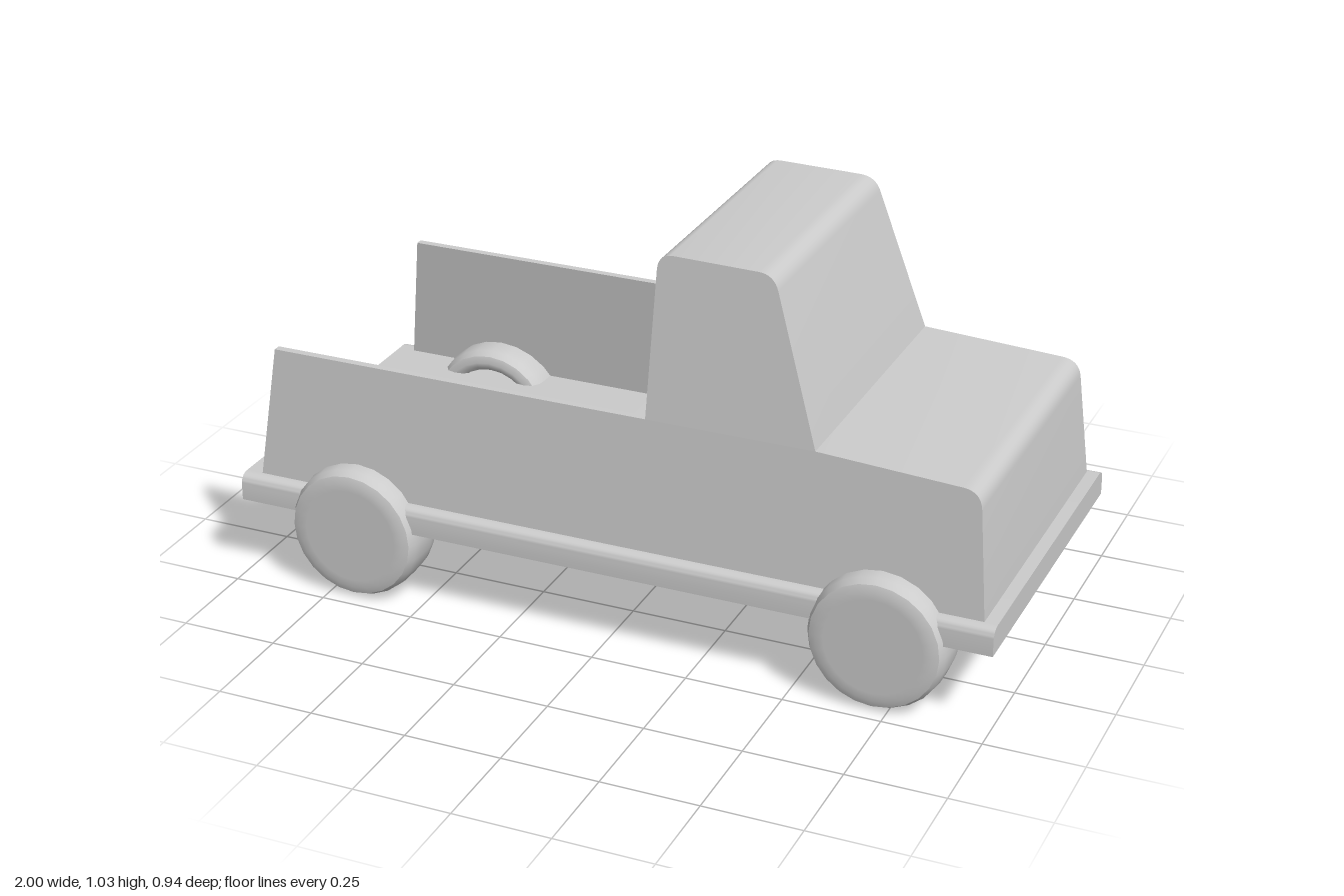
import * as THREE from 'three';
import { toCreasedNormals } from 'three/addons/utils/BufferGeometryUtils.js';

const material = new THREE.MeshStandardMaterial({ color: 0xcccccc });
const lerp = THREE.MathUtils.lerp;
const BELT = 0.62, FLOOR = 0.28, ROOF = 1.03;

// Half width of the bodywork: it narrows towards the roof, and the bed flares slightly to the rear
function halfWidth(x, y) {
  if (y > BELT) return lerp(0.39, 0.34, (y - BELT) / (ROOF - BELT));
  const belt = lerp(0.41, 0.39, THREE.MathUtils.clamp((x + 0.92) / 0.98, 0, 1));
  return lerp(0.42, belt, (y - FLOOR) / (BELT - FLOOR));
}

// Side profile from points [x, y]; a third value rounds that corner by that distance
function profile(points) {
  const shape = new THREE.Shape();
  const n = points.length;
  const v = points.map(([x, y]) => new THREE.Vector2(x, y));
  points.forEach(([x, y, r = 0], i) => {
    const toward = (q) => q.clone().sub(v[i]).setLength(r).add(v[i]);
    const a = r ? toward(v[(i + n - 1) % n]) : v[i];
    if (i === 0) shape.moveTo(a.x, a.y);
    else shape.lineTo(a.x, a.y);
    if (r) {
      const b = toward(v[(i + 1) % n]);
      shape.quadraticCurveTo(x, y, b.x, b.y);
    }
  });
  shape.closePath();
  return shape;
}

// Extrudes a profile, then places each vertex in z by a rule
function extruded(name, shape, depth, placeZ) {
  const geometry = new THREE.ExtrudeGeometry(shape, { depth, bevelEnabled: false, curveSegments: 8 });
  const p = geometry.attributes.position;
  for (let i = 0; i < p.count; i++) p.setZ(i, placeZ(p.getX(i), p.getY(i), p.getZ(i)));
  const mesh = new THREE.Mesh(toCreasedNormals(geometry, 0.6), material);
  mesh.name = name;
  return mesh;
}

export function createModel() {
  const truck = new THREE.Group();
  truck.name = 'pickupTruck';
  const fullWidth = (x, y, z) => (z * 2 - 1) * halfWidth(x, y);

  // Chassis plate with rounded upper long edges
  const section = profile([[-0.45, 0.21], [0.45, 0.21], [0.45, FLOOR, 0.03], [-0.45, FLOOR, 0.03]]);
  const chassis = extruded('chassis', section, 2, (x, y, z) => z - 1);
  chassis.rotation.y = Math.PI / 2;
  truck.add(chassis);

  // Hood and lower cab, including the bulkhead at the front of the bed
  truck.add(extruded('lowerBody', profile([
    [0.06, FLOOR], [0.967, FLOOR], [0.937, 0.598, 0.045], [0.53, BELT], [0.06, BELT],
  ]), 1, fullWidth));

  // Upper cab with sloping windshield
  truck.add(extruded('cab', profile([
    [0.097, BELT], [0.53, BELT], [0.402, 1.025, 0.04], [0.11, ROOF, 0.04],
  ]), 1, fullWidth));

  // Bed side walls, open at the rear
  const thickness = 0.02;
  for (const side of [1, -1]) {
    truck.add(extruded(side > 0 ? 'leftBedWall' : 'rightBedWall',
      profile([[-0.955, FLOOR], [0.06, FLOOR], [0.06, BELT], [-0.915, BELT]]), thickness,
      (x, y, z) => side * halfWidth(x, y) + z - (side > 0 ? thickness : 0)));
  }

  // Wheels: rounded tyre with an outer disc, hollow on the inner side
  const rim = [
    [0, 0.12], [0.122, 0.12], [0.122, 0.012], [0.13, 0.003], [0.145, 0], [0.163, 0.006], [0.173, 0.025],
    [0.176, 0.05], [0.176, 0.105], [0.173, 0.13], [0.163, 0.149], [0.145, 0.155], [0.125, 0.155], [0, 0.155],
  ].map(([r, y]) => new THREE.Vector2(r, y));
  const wheelGeometry = toCreasedNormals(new THREE.LatheGeometry(rim, 24), 0.7);
  const wheelMaterial = material.clone();
  wheelMaterial.side = THREE.DoubleSide;
  for (const [end, x] of [['rear', -0.68], ['front', 0.713]]) {
    for (const side of [1, -1]) {
      const wheel = new THREE.Mesh(wheelGeometry, wheelMaterial);
      wheel.name = `${end}${side > 0 ? 'Near' : 'Far'}Wheel`;
      wheel.rotation.x = side * Math.PI / 2;
      wheel.position.set(x, 0.18, side * 0.315);
      truck.add(wheel);
    }
  }
  truck.position.y = -0.004;
  return truck;
}
